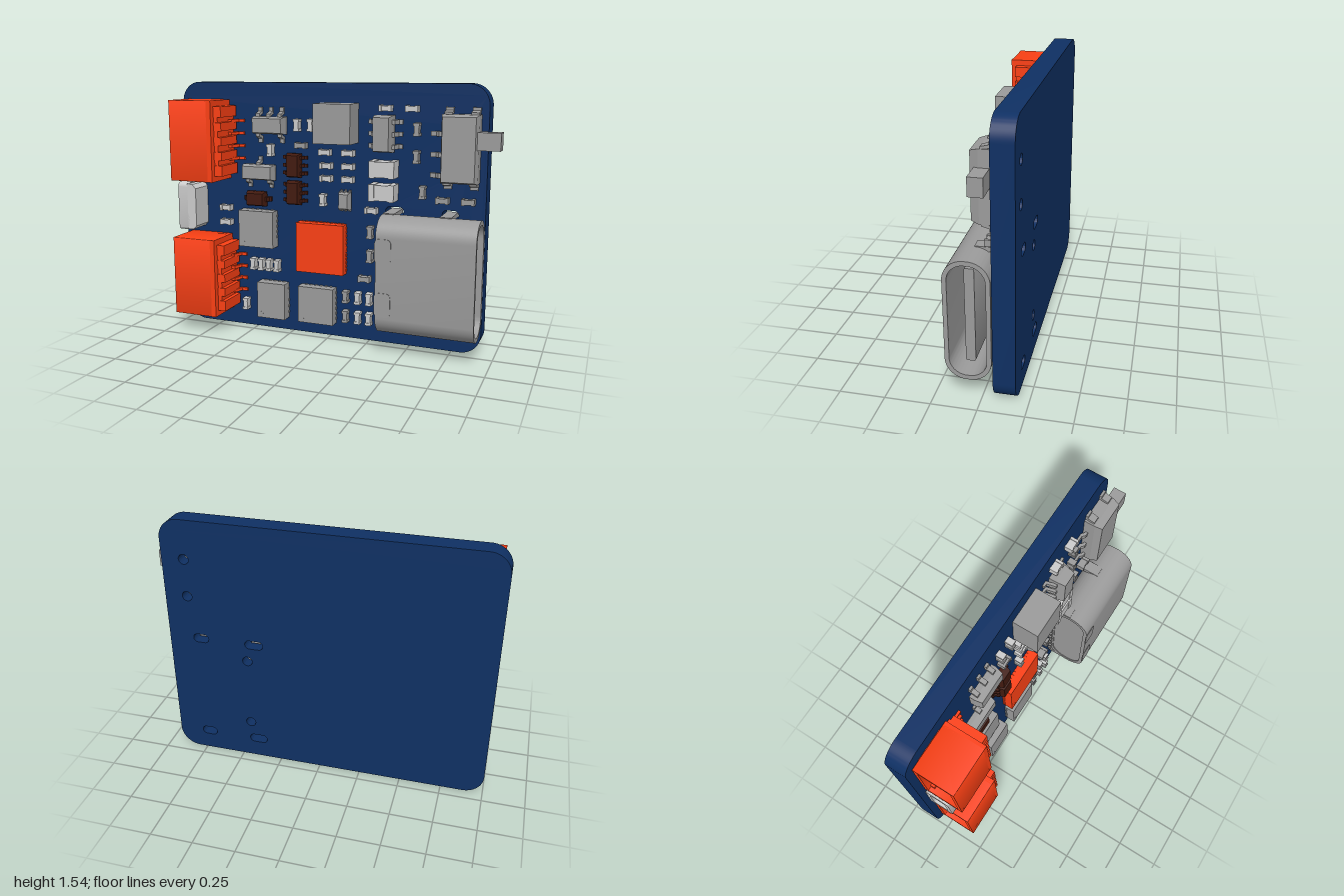
import * as THREE from 'three';
import { toCreasedNormals } from 'three/addons/utils/BufferGeometryUtils.js';

const mat = (color) => new THREE.MeshStandardMaterial({ color, side: THREE.DoubleSide });
const NAVY = mat(0x0f3063), ORANGE = mat(0xfc4014), BROWN = mat(0x421a0f);
const GREY = mat(0x9b9b9b), LIGHT = mat(0xcccccc);
const Z0 = -0.065; // front surface of the board

function add(parent, name, geo, material) {
  const m = new THREE.Mesh(geo, material);
  m.name = name;
  parent.add(m);
  return m;
}
function group(parent, name) {
  const g = new THREE.Group();
  g.name = name;
  parent.add(g);
  return g;
}
// Box given by its extents; taper shrinks the front (+z) face
function box(parent, name, material, x0, x1, y0, y1, z0, z1, taper = 0) {
  const geo = new THREE.BoxGeometry(x1 - x0, y1 - y0, z1 - z0);
  const p = geo.attributes.position;
  if (taper) {
    for (let i = 0; i < p.count; i++) if (p.getZ(i) > 0) {
      p.setX(i, p.getX(i) - Math.sign(p.getX(i)) * taper);
      p.setY(i, p.getY(i) - Math.sign(p.getY(i)) * taper);
    }
    geo.computeVertexNormals();
  }
  geo.translate((x0 + x1) / 2, (y0 + y1) / 2, (z0 + z1) / 2);
  return add(parent, name, geo, material);
}
function roundRect(Type, x0, x1, y0, y1, r) {
  const s = new Type();
  s.absarc(x1 - r, y1 - r, r, 0, Math.PI / 2);
  s.absarc(x0 + r, y1 - r, r, Math.PI / 2, Math.PI);
  s.absarc(x0 + r, y0 + r, r, Math.PI, Math.PI * 1.5);
  s.absarc(x1 - r, y0 + r, r, Math.PI * 1.5, Math.PI * 2);
  s.closePath();
  return s;
}
const extrude = (shape, depth) => toCreasedNormals(
  new THREE.ExtrudeGeometry(shape, { depth, bevelEnabled: false, curveSegments: 10 }), 0.6);
// Extrude along +x a shape drawn in (-z, y)
const extrudeX = (shape, x0, x1) => extrude(shape, x1 - x0).rotateY(Math.PI / 2).translate(x0, 0, 0);

// Gull-wing lead starting at (x, y), running in direction (dx, dy)
function lead(parent, material, x, y, dx, dy, len, w, h, t = 0.014) {
  const a = len * 0.3, b = len * 0.55;
  const pts = [[-0.02, h], [a, h], [b, t], [len, t], [len, 0], [b - t, 0], [a - t, h - t], [-0.02, h - t]];
  const geo = new THREE.ExtrudeGeometry(new THREE.Shape(pts.map((p) => new THREE.Vector2(...p))),
    { depth: w, bevelEnabled: false }).translate(0, 0, -w / 2);
  geo.applyMatrix4(new THREE.Matrix4().makeBasis(new THREE.Vector3(dx, dy, 0),
    new THREE.Vector3(0, 0, 1), new THREE.Vector3(dy, -dx, 0)).setPosition(x, y, Z0));
  add(parent, 'lead', geo, material);
}
// Small two-terminal chip with end caps along its longer side
function chip(root, material, cx, cy, w, h, top = -0.018) {
  const g = group(root, 'chipComponent'), i = 0.004;
  box(g, 'chipBody', material, cx - w / 2 + i, cx + w / 2 - i, cy - h / 2 + i, cy + h / 2 - i, Z0, top - i);
  for (const s of [-1, 1]) {
    const ex = w > h ? w * 0.22 : w, ey = w > h ? h : h * 0.22;
    const x = cx + s * (w - ex) / 2, y = cy + s * (h - ey) / 2;
    box(g, 'endCap', material, x - ex / 2, x + ex / 2, y - ey / 2, y + ey / 2, Z0, top);
  }
}
// Packaged chip; leads are listed as [x, y, dx, dy]
function leaded(root, name, material, x0, x1, y0, y1, top, leads, len, w) {
  const g = group(root, name);
  box(g, 'packageLower', material, x0, x1, y0, y1, Z0 + 0.012, (Z0 + top) / 2);
  box(g, 'packageUpper', material, x0, x1, y0, y1, (Z0 + top) / 2, top, 0.01);
  for (const l of leads) lead(g, material, ...l, len, w, (top - Z0) * 0.6);
}
// Leadless square chip with contacts round the rim
function leadless(root, material, x0, x1, y0, y1, top, n) {
  const g = group(root, 'leadlessChip'), e = 0.003, w = 0.007;
  box(g, 'package', material, x0, x1, y0, y1, Z0, top);
  for (let i = 0; i < n; i++) {
    const f = (i + 1) / (n + 1), x = x0 + (x1 - x0) * f, y = y0 + (y1 - y0) * f;
    box(g, 'contact', material, x - w, x + w, y0 - e, y1 + e, Z0, Z0 + 0.015);
    box(g, 'contact', material, x0 - e, x1 + e, y - w, y + w, Z0, Z0 + 0.015);
  }
  const dot = new THREE.CylinderGeometry(0.01, 0.01, 0.002, 12).rotateX(Math.PI / 2);
  add(g, 'cornerDot', dot.translate(x0 + 0.03, y0 + 0.03, top), material);
}
// Four-pin socket open towards -x
function socket(root, y0) {
  const g = group(root, 'cableSocket'), y1 = y0 + 0.486, c = (y0 + y1) / 2;
  const frame = roundRect(THREE.Shape, -0.178, 0.06, y0, y1, 0.002);
  frame.holes.push(roundRect(THREE.Path, -0.155, 0.035, y0 + 0.03, y1 - 0.03, 0.002));
  add(g, 'housing', extrudeX(frame, -0.955, -0.69), ORANGE);
  box(g, 'rearWall', ORANGE, -0.7, -0.67, y0, y1, -0.06, 0.178);
  box(g, 'rearCore', ORANGE, -0.67, -0.645, y0 + 0.04, y1 - 0.04, -0.06, 0.14);
  for (let i = 0; i < 5; i++) {
    const y = c + (i - 2) * 0.088, h = i % 4 ? 0.025 : 0.032;
    box(g, 'rearRib', ORANGE, -0.67, -0.62, y - h, y + h, -0.05, 0.145);
  }
  for (const s of [-1, 1]) {
    box(g, 'innerKey', ORANGE, -0.93, -0.69, c + s * 0.2 - 0.015, c + s * 0.2 + 0.015, -0.04, -0.01);
    box(g, 'mountFoot', ORANGE, -0.9, -0.72, c + s * 0.2 - 0.03, c + s * 0.2 + 0.03, Z0, -0.055);
  }
  for (let i = 0; i < 4; i++) {
    const y = c + (i - 1.5) * 0.077;
    box(g, 'contactPin', ORANGE, -0.9, -0.69, y - 0.01, y + 0.01, 0.045, 0.065);
    lead(g, ORANGE, -0.645, y, 1, 0, 0.077, 0.018, 0.075);
  }
}

export function createModel() {
  const root = new THREE.Group();
  root.name = 'circuitBoard';

  // Board with mounting slots and locating holes
  const plate = roundRect(THREE.Shape, -1, 0.92, 0, 1.54, 0.12);
  for (const y of [0.13, 0.805]) for (const [a, b] of [[0.34, 0.45], [0.675, 0.77]])
    plate.holes.push(roundRect(THREE.Path, a, b, y - 0.027, y + 0.027, 0.0265));
  for (const [x, y] of [[0.44, 0.69], [0.44, 0.25], [0.785, 1.305], [0.785, 1.075]])
    plate.holes.push(roundRect(THREE.Path, x - 0.03, x + 0.03, y - 0.03, y + 0.03, 0.0299));
  add(root, 'board', extrude(plate, 0.12).translate(0, 0, -0.185), NAVY);

  socket(root, 0.949);
  socket(root, 0.107);

  // Side-facing lamp between the sockets
  const lamp = group(root, 'sideLamp');
  const lens = roundRect(THREE.Shape, -0.088, 0.06, 0.625, 0.925, 0.025);
  lens.holes.push(roundRect(THREE.Path, -0.06, 0.035, 0.665, 0.885, 0.02));
  add(lamp, 'lampFrame', extrudeX(lens, -0.965, -0.89), LIGHT);
  const back = [[-0.9, 0.63], [-0.865, 0.632], [-0.842, 0.655], [-0.842, 0.89], [-0.865, 0.915], [-0.9, 0.92]];
  add(lamp, 'lampBody', extrude(new THREE.Shape(back.map((p) => new THREE.Vector2(...p))), 0.148)
    .translate(0, 0, -0.06), LIGHT);

  // Oval port: shell, rear plate, tongue, tabs and pins
  const port = group(root, 'oblongPort');
  const shell = roundRect(THREE.Shape, -0.187, 0.06, 0.125, 0.81, 0.115);
  shell.holes.push(roundRect(THREE.Path, -0.163, 0.036, 0.15, 0.785, 0.092));
  add(port, 'shell', extrudeX(shell, 0.36, 0.92), GREY);
  add(port, 'rearPlate', extrudeX(roundRect(THREE.Shape, -0.175, 0.05, 0.14, 0.795, 0.1), 0.365, 0.45), GREY);
  add(port, 'tongue', extrudeX(roundRect(THREE.Shape, -0.09, -0.037, 0.2, 0.74, 0.01), 0.44, 0.86), GREY);
  add(port, 'tongueBase', extrudeX(roundRect(THREE.Shape, -0.115, -0.012, 0.17, 0.77, 0.03), 0.44, 0.56), GREY);
  for (const s of [-1, 1]) {
    const c = 0.4675 + s * 0.155;
    add(port, 'springTab', extrude(roundRect(THREE.Shape, 0.355, 0.45, c - 0.07, c + 0.07, 0.025), 0.006)
      .translate(0, 0, 0.184), GREY);
    for (const x of [0.395, 0.722]) {
      const y = 0.4675 + s * 0.334;
      box(port, 'mountTab', GREY, x - 0.033, x + 0.033, y - 0.013, y + 0.013, -0.13, 0.06);
    }
    const pegs = new THREE.CylinderGeometry(0.025, 0.025, 0.08, 16).rotateX(Math.PI / 2);
    add(port, 'locatingPeg', pegs.translate(0.44, 0.4675 + s * 0.22, -0.08), GREY);
  }
  for (let i = 0; i < 12; i++) {
    const y = 0.21 + i * 0.0468;
    box(port, 'portPin', GREY, 0.34, 0.42, y - 0.009, y + 0.009, Z0, -0.045);
  }

  // Slide switch
  const sw = group(root, 'slideSwitch');
  box(sw, 'switchBase', GREY, 0.672, 0.88, 0.995, 1.375, Z0, 0);
  box(sw, 'switchCover', GREY, 0.672, 0.88, 0.995, 1.375, 0, 0.042, 0.012);
  box(sw, 'slider', GREY, 0.85, 1, 1.185, 1.283, -0.055, 0.022);
  for (const x of [0.705, 0.853]) for (const [y, d] of [[0.995, -1], [1.375, 1]])
    lead(sw, GREY, x, y, 0, d, 0.038, 0.045, 0.055);
  for (const y of [1.03, 1.147, 1.264]) lead(sw, GREY, 0.672, y, -1, 0, 0.07, 0.027, 0.03);
  for (const y of [1.075, 1.305])
    add(sw, 'switchPeg', new THREE.CylinderGeometry(0.025, 0.025, 0.06, 16).rotateX(Math.PI / 2)
      .translate(0.785, y, -0.085), GREY);

  // Packages with leads
  leaded(root, 'fiveLeadChip', GREY, -0.488, -0.28, 1.233, 1.338, 0.02,
    [[-0.457, 1.338, 0, 1], [-0.385, 1.338, 0, 1], [-0.313, 1.338, 0, 1],
      [-0.457, 1.233, 0, -1], [-0.313, 1.233, 0, -1]], 0.055, 0.026);
  leaded(root, 'threeLeadChip', GREY, -0.566, -0.356, 0.95, 1.045, 0.01,
    [[-0.461, 1.045, 0, 1], [-0.533, 0.95, 0, -1], [-0.389, 0.95, 0, -1]], 0.048, 0.026);
  leaded(root, 'diode', BROWN, -0.545, -0.418, 0.786, 0.877, 0,
    [[-0.545, 0.831, -1, 0], [-0.418, 0.831, 1, 0]], 0.03, 0.028);
  const sides = (x0, x1, ys) => ys.flatMap((y) => [[x0, y, -1, 0], [x1, y, 1, 0]]);
  for (const y of [0.81, 0.976])
    leaded(root, 'smallSixLeadChip', BROWN, -0.273, -0.184, y, y + 0.145, 0,
      sides(-0.273, -0.184, [y + 0.025, y + 0.0725, y + 0.12]), 0.034, 0.02);
  leaded(root, 'sixLeadChip', GREY, 0.281, 0.393, 1.152, 1.361, 0.045,
    sides(0.281, 0.393, [1.184, 1.254, 1.324]), 0.045, 0.026);
  leaded(root, 'tinyChip', GREY, 0.058, 0.134, 0.8, 0.905, -0.005,
    [0.07, 0.096, 0.122].flatMap((x) => [[x, 0.8, 0, -1], [x, 0.905, 0, 1]]), 0.012, 0.012);

  // Leadless chips and the tall inductor
  leadless(root, GREY, -0.588, -0.356, 0.532, 0.76, 0.008, 6);
  leadless(root, ORANGE, -0.204, 0.1, 0.404, 0.708, 0, 12);
  leadless(root, GREY, -0.468, -0.281, 0.083, 0.31, 0.008, 5);
  leadless(root, GREY, -0.194, 0.035, 0.083, 0.31, 0, 6);
  box(root, 'inductor', GREY, -0.057, 0.17, 1.196, 1.425, Z0, 0.087);

  // Chip resistors and capacitors: centres of flat and upright ones
  const L = 0.073, W = 0.036;
  const flatLight = [[0.34, 1.4], [0.495, 1.4], [-0.03, 1.135], [0.115, 1.135], [-0.022, 1.056], [0.115, 1.056],
    [-0.022, 0.98], [0.115, 0.98], [0.26, 0.805], [-0.698, 0.762], [-0.698, 0.67]];
  const flatGrey = [[-0.184, 1.17], [0.68, 0.89], [0.826, 0.89], [0.222, 0.388]];
  const tallLight = [[-0.208, 1.29], [-0.12, 1.292], [-0.385, 1.135], [-0.043, 0.85], [-0.512, 0.415],
    [-0.458, 0.415], [-0.404, 0.415], [-0.35, 0.415], [-0.57, 0.147], [0.182, 0.265], [0.252, 0.265],
    [0.182, 0.142], [0.252, 0.142]];
  const tallGrey = [[0.525, 1.285], [0.525, 1.13], [0.564, 0.93], [0.255, 0.675], [0.255, 0.53],
    [0.104, 0.265], [0.104, 0.142]];
  for (const [x, y] of flatLight) chip(root, LIGHT, x, y, L, W);
  for (const [x, y] of flatGrey) chip(root, GREY, x, y, L, W);
  for (const [x, y] of tallLight) chip(root, LIGHT, x, y, W, L);
  for (const [x, y] of tallGrey) chip(root, GREY, x, y, W, L);
  for (const y of [1.056, 0.922]) chip(root, LIGHT, 0.34, y, 0.15, 0.098, 0.035);
  return root;
}
